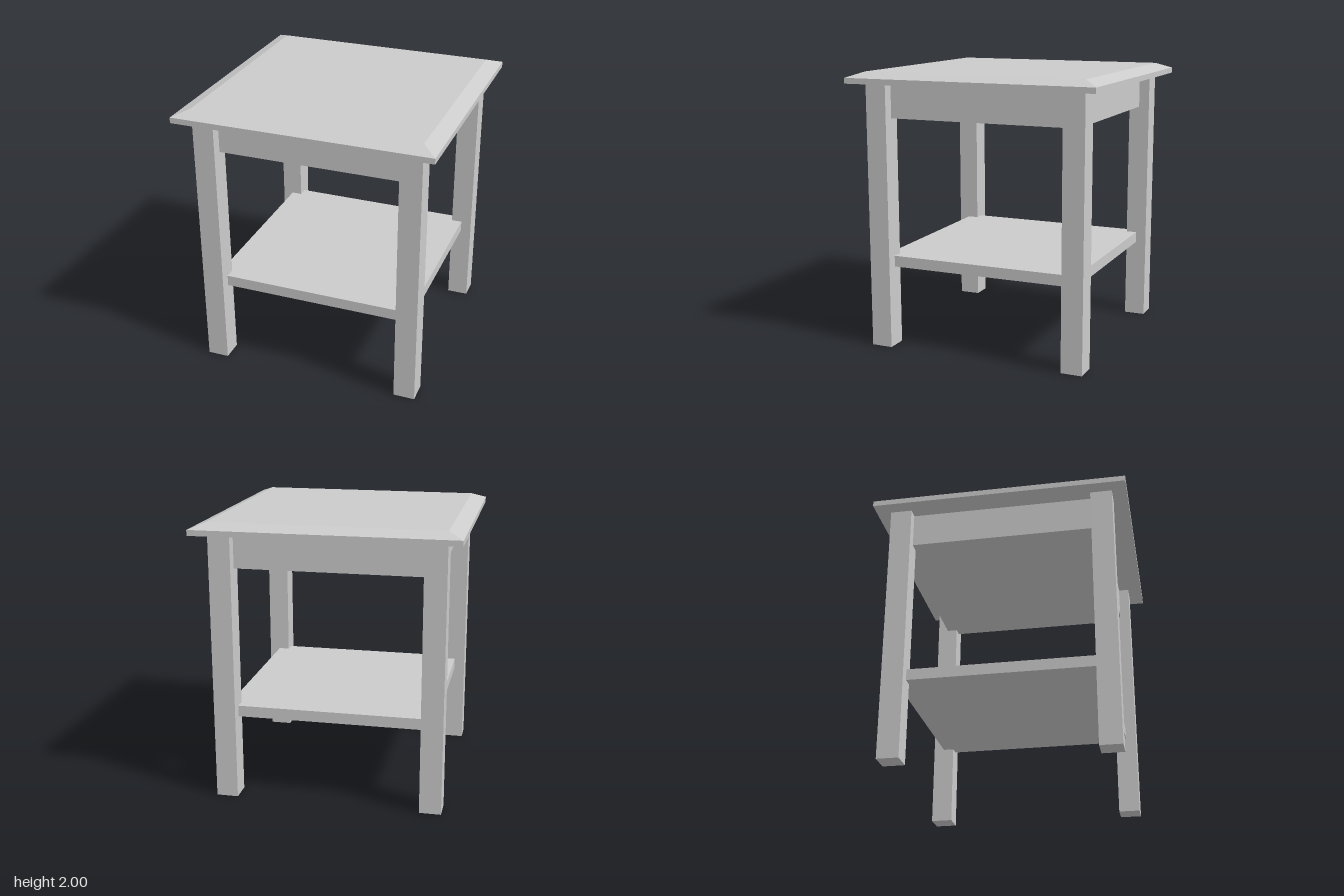
import * as THREE from 'three';

const material = new THREE.MeshStandardMaterial({ color: 0xcccccc, flatShading: true });

// Square block centred on the y axis by default, from height y0 to y1
function block(name, width, y0, y1, x = 0, z = 0) {
  const mesh = new THREE.Mesh(new THREE.BoxGeometry(width, y1 - y0, width), material);
  mesh.name = name;
  mesh.position.set(x, (y0 + y1) / 2, z);
  return mesh;
}

export function createModel() {
  const table = new THREE.Group();
  table.name = 'sideTable';

  const legWidth = 0.155;
  const legCentre = 0.737;

  // Four square legs
  for (const [sx, front] of [[1, 1], [-1, 1], [1, -1], [-1, -1]]) {
    const name = (front > 0 ? 'front' : 'back') + (sx > 0 ? 'Left' : 'Right') + 'Leg';
    table.add(block(name, legWidth, 0, 1.92, sx * legCentre, front * legCentre));
  }

  // Apron and lower shelf, both ending at the leg centres
  table.add(block('apron', 2 * legCentre, 1.67, 1.92));
  table.add(block('shelf', 2 * legCentre, 0.59, 0.67));

  // Tabletop slab with a straight lower edge
  table.add(block('tabletopEdge', 1.84, 1.92, 1.96));

  // Bevelled upper half: a box whose upper corners are drawn inward
  const bevel = block('tabletopBevel', 1.84, 1.96, 2);
  const pos = bevel.geometry.attributes.position;
  for (let i = 0; i < pos.count; i++) {
    if (pos.getY(i) > 0) {
      pos.setX(i, Math.sign(pos.getX(i)) * 0.815);
      pos.setZ(i, Math.sign(pos.getZ(i)) * 0.815);
    }
  }
  bevel.geometry.computeVertexNormals();
  table.add(bevel);

  return table;
}
